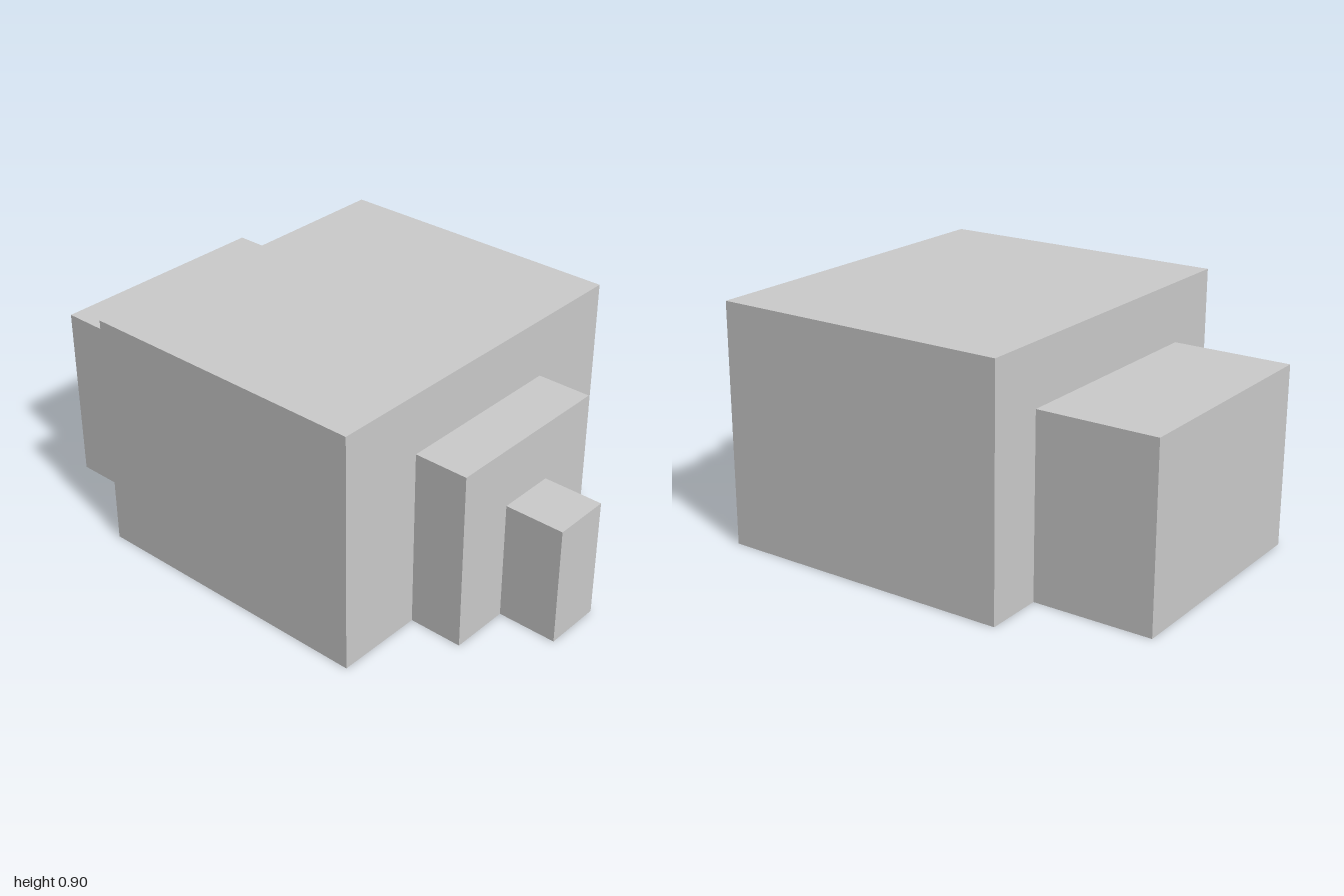
import * as THREE from 'three';

// Plain stepped blocks, all standing on the ground and centred on x
const BLOCKS = [
  { name: 'mainHall', width: 1.35, height: 0.9, back: -0.55, front: 0.57 },
  { name: 'rearWing', width: 0.9, height: 0.675, back: -1, front: -0.55 },
  { name: 'frontBay', width: 0.675, height: 0.675, back: 0.57, front: 0.775 },
  { name: 'entrancePorch', width: 0.22, height: 0.45, back: 0.775, front: 1 },
];

export function createModel() {
  const model = new THREE.Group();
  model.name = 'steppedBuilding';
  const material = new THREE.MeshStandardMaterial({ color: 0xcccccc });

  for (const { name, width, height, back, front } of BLOCKS) {
    const block = new THREE.Mesh(new THREE.BoxGeometry(width, height, front - back), material);
    block.name = name;
    block.position.set(0, height / 2, (front + back) / 2);
    model.add(block);
  }
  return model;
}
